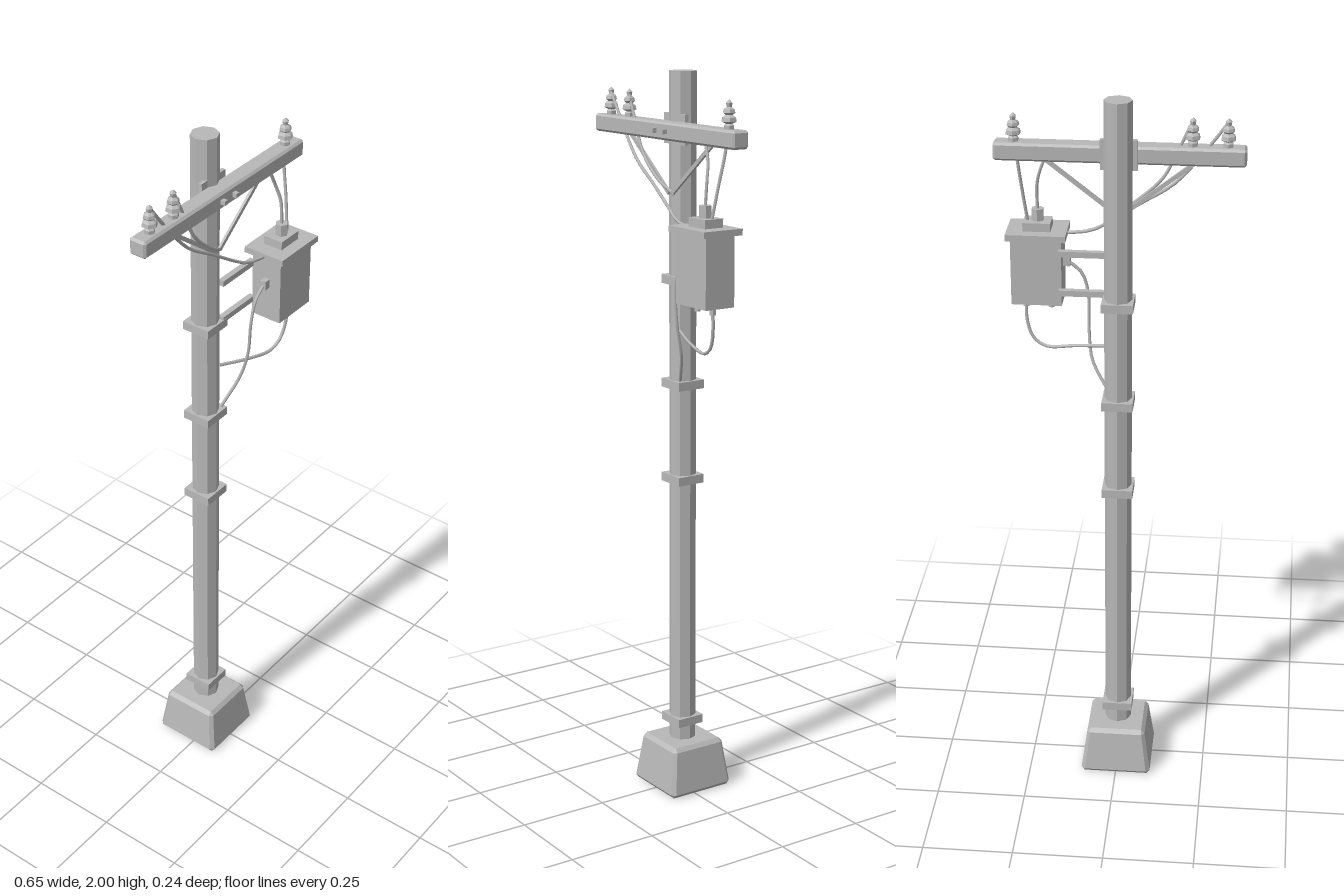
import * as THREE from 'three';
import { ConvexGeometry } from 'three/addons/geometries/ConvexGeometry.js';

export function createModel() {
  const model = new THREE.Group();
  const grey = new THREE.MeshStandardMaterial({ color: 0xb8b8b8 });
  grey.name = 'grey';

  const add = (name, geometry, x = 0, y = 0, z = 0) => {
    const mesh = new THREE.Mesh(geometry, grey);
    mesh.name = name;
    mesh.position.set(x, y, z);
    model.add(mesh);
    return mesh;
  };
  // Box given by its lower and upper limits
  const box = (name, x0, x1, y0, y1, z0, z1) =>
    add(name, new THREE.BoxGeometry(x1 - x0, y1 - y0, z1 - z0),
      (x0 + x1) / 2, (y0 + y1) / 2, (z0 + z1) / 2);
  // Chamfered block; topScale narrows the upper end
  const chamferBlock = (w, h, d, c, topScale = 1) => {
    const points = [];
    for (const sx of [-1, 1]) for (const sy of [-1, 1]) for (const sz of [-1, 1]) {
      for (const [cx, cy, cz] of [[0, c, c], [c, 0, c], [c, c, 0]]) {
        const y = sy * (h / 2 - cy);
        const s = 1 + (topScale - 1) * (y / h + 0.5);
        points.push(new THREE.Vector3(sx * (w / 2 - cx) * s, y, sz * (d / 2 - cz) * s));
      }
    }
    return new ConvexGeometry(points);
  };
  const faceted = (geometry) => {
    const flat = geometry.toNonIndexed();
    flat.computeVertexNormals();
    return flat;
  };
  const prism = (r, h, sides) => faceted(new THREE.CylinderGeometry(r, r, h, sides));
  const poleZ = -0.021;

  // Footing, octagonal pole and square clamps
  add('footing', chamferBlock(0.202, 0.14, 0.202, 0.011, 0.81), 0, 0.07, poleZ);
  add('pole', prism(0.037, 1.88, 8), 0, 1.06, poleZ);
  for (const y of [0.195, 0.9, 1.165, 1.45]) {
    box('poleClamp', -0.042, 0.042, y - 0.012, y + 0.012, poleZ - 0.041, poleZ + 0.041);
  }

  // Crossarm with its mounting plate, bolts and diagonal braces
  add('crossarm', chamferBlock(0.646, 0.047, 0.05, 0.006), 0, 1.847, 0.025);
  box('crossarmPlate', -0.048, 0.048, 1.81, 1.89, -0.005, 0.006);
  for (const side of [-1, 1]) {
    box('crossarmBolt', side * 0.0235 - 0.006, side * 0.0235 + 0.006, 1.841, 1.853, 0.045, 0.063);
    const brace = add('brace', new THREE.BoxGeometry(0.235, 0.011, 0.007), side * 0.1, 1.755, 0.018);
    brace.rotation.z = side * Math.atan2(0.145, 0.185);
  }

  // Ribbed insulators
  const insulatorProfile = [
    [0, 0], [0.014, 0], [0.014, 0.012], [0.009, 0.016], [0.021, 0.022], [0.019, 0.032],
    [0.01, 0.038], [0.017, 0.044], [0.015, 0.052], [0.007, 0.058], [0.009, 0.068], [0, 0.077],
  ].map(([r, y]) => new THREE.Vector2(r, y));
  for (const x of [-0.275, -0.185, 0.272]) {
    add('insulator', faceted(new THREE.LatheGeometry(insulatorProfile, 6)), x, 1.868, 0.026);
  }

  // Transformer box, lid and terminals
  box('transformerBody', 0.153, 0.287, 1.42, 1.608, 0.017, 0.106);
  box('transformerLid', 0.14, 0.298, 1.605, 1.622, 0, 0.12);
  box('lidPlate', 0.182, 0.255, 1.62, 1.645, 0.03, 0.087);
  add('topTerminal', prism(0.017, 0.034, 6), 0.218, 1.66, 0.06);
  for (const x of [0.185, 0.253]) add('bottomTerminal', prism(0.009, 0.025, 6), x, 1.412, 0.06);
  box('sideTerminal', 0.134, 0.156, 1.518, 1.543, 0.055, 0.072);

  // Support arms between pole and transformer
  for (const y of [1.572, 1.462]) {
    box('supportArm', 0.025, 0.16, y - 0.008, y + 0.008, 0.003, 0.019);
  }

  // Hanging cables
  const cables = [
    [[-0.275, 1.935, 0.028], [-0.22, 1.86, 0.03], [-0.14, 1.765, 0.035], [-0.05, 1.705, 0.04],
      [0.03, 1.65, 0.045], [0.08, 1.622, 0.053], [0.155, 1.61, 0.06]],
    [[-0.185, 1.935, 0.028], [-0.15, 1.86, 0.03], [-0.11, 1.78, 0.032], [-0.04, 1.715, 0.03],
      [0.015, 1.68, 0.016]],
    [[0.19, 1.83, 0.04], [0.208, 1.785, 0.045], [0.218, 1.74, 0.055], [0.218, 1.67, 0.06]],
    [[0.272, 1.9, 0.028], [0.264, 1.82, 0.03], [0.255, 1.73, 0.045], [0.243, 1.63, 0.06]],
    [[0.253, 1.41, 0.06], [0.252, 1.36, 0.058], [0.235, 1.31, 0.053], [0.2, 1.288, 0.048],
      [0.12, 1.298, 0.035], [0.025, 1.315, 0.005]],
    [[0.14, 1.53, 0.063], [0.105, 1.5, 0.063], [0.087, 1.44, 0.062], [0.085, 1.34, 0.055],
      [0.075, 1.26, 0.035], [0.03, 1.18, 0.008]],
  ];
  for (const points of cables) {
    const curve = new THREE.CatmullRomCurve3(points.map((p) => new THREE.Vector3(...p)));
    add('cable', new THREE.TubeGeometry(curve, 18, 0.0045, 6));
  }

  return model;
}
